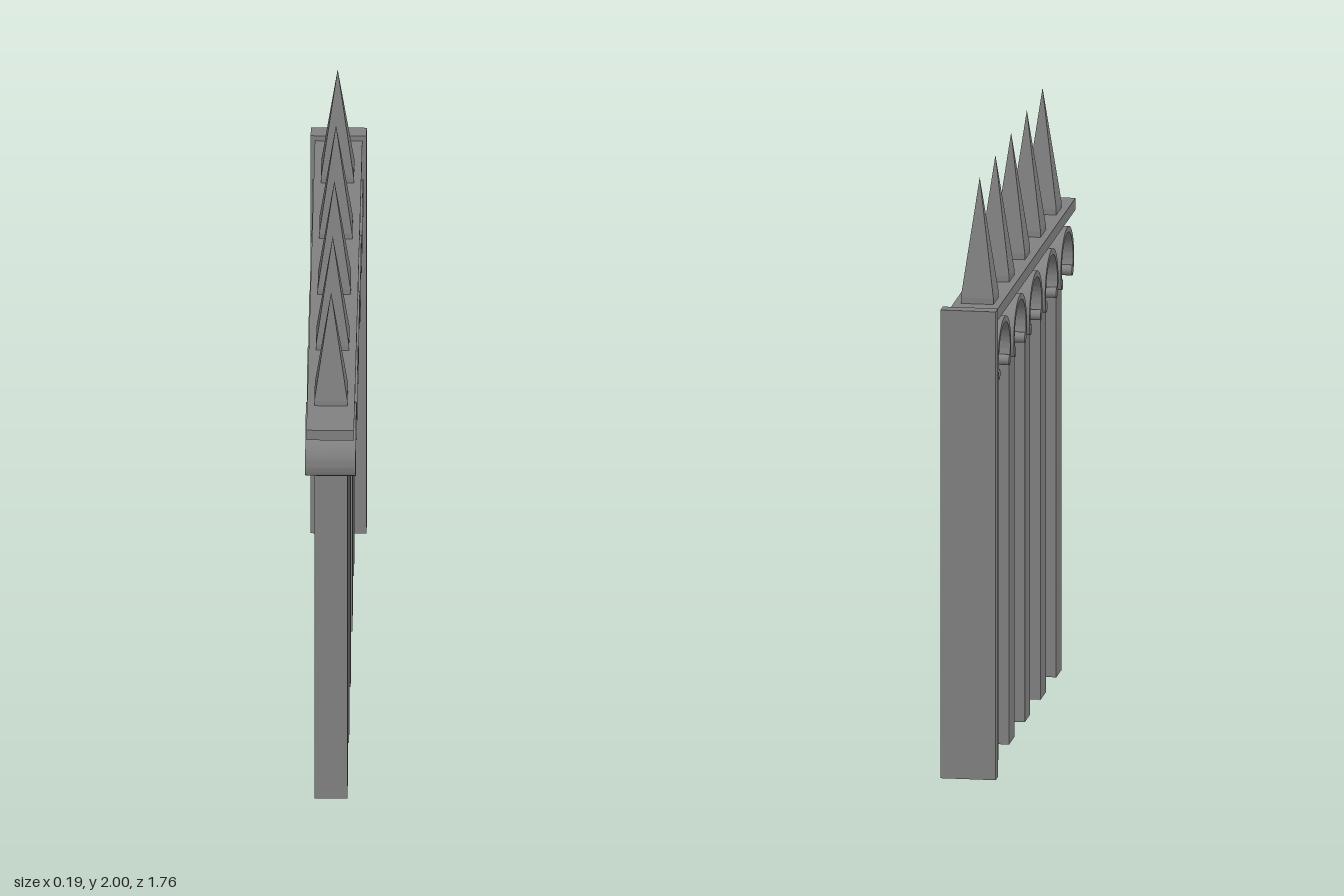
import * as THREE from 'three';
import { toCreasedNormals } from 'three/addons/utils/BufferGeometryUtils.js';

export function createModel() {
  const group = new THREE.Group();
  group.name = 'fenceSection';
  const iron = new THREE.MeshStandardMaterial({ color: 0x808080 });
  iron.name = 'greyIron';

  function add(name, geometry, x, y, z, parent = group) {
    const mesh = new THREE.Mesh(geometry, iron);
    mesh.name = name;
    mesh.position.set(x, y, z);
    parent.add(mesh);
    return mesh;
  }

  // Square picket and its pyramid spike
  const w = 0.11, shoulder = 1.6;
  const picketGeo = new THREE.BoxGeometry(w, shoulder, w);
  const spikeGeo = new THREE.ConeGeometry(w / Math.SQRT2, 2 - shoulder, 4, 1, true)
    .toNonIndexed().rotateY(Math.PI / 4);
  spikeGeo.computeVertexNormals();

  // Horseshoe scroll: a band between two elliptical arcs, extruded across the fence
  const depth = 0.168, from = -0.42, to = Math.PI + 0.42;
  const band = new THREE.Shape();
  band.absellipse(0, 0, 0.138, 0.127, from, to, false);
  band.absellipse(0, 0, 0.118, 0.107, to, from, true);
  band.closePath();
  const scrollGeo = toCreasedNormals(
    new THREE.ExtrudeGeometry(band, { depth, bevelEnabled: false, curveSegments: 32 })
      .translate(0, 0, -depth / 2).rotateY(Math.PI / 2), 0.6);
  const curlGeo = new THREE.CylinderGeometry(0.018, 0.018, depth, 16).rotateZ(Math.PI / 2);

  for (let i = 0; i < 5; i++) {
    const unit = new THREE.Group();
    unit.name = 'picketUnit' + (i + 1);
    unit.position.z = 0.68 - i * 0.329;
    group.add(unit);
    add('picket', picketGeo, 0, shoulder / 2, 0, unit);
    add('spike', spikeGeo, 0, (shoulder + 2) / 2, 0, unit);
    add('scroll', scrollGeo, 0, 1.4, 0, unit);
    for (const s of [-1, 1]) add('scrollCurl', curlGeo, 0, 1.355, s * 0.107, unit);
  }

  // Top rail and flat end post
  add('rail', new THREE.BoxGeometry(0.158, 0.04, 1.71), 0, 1.56, 0.025);
  add('endPost', new THREE.BoxGeometry(0.186, 1.6, 0.05), 0, 0.8, -0.855);
  return group;
}
